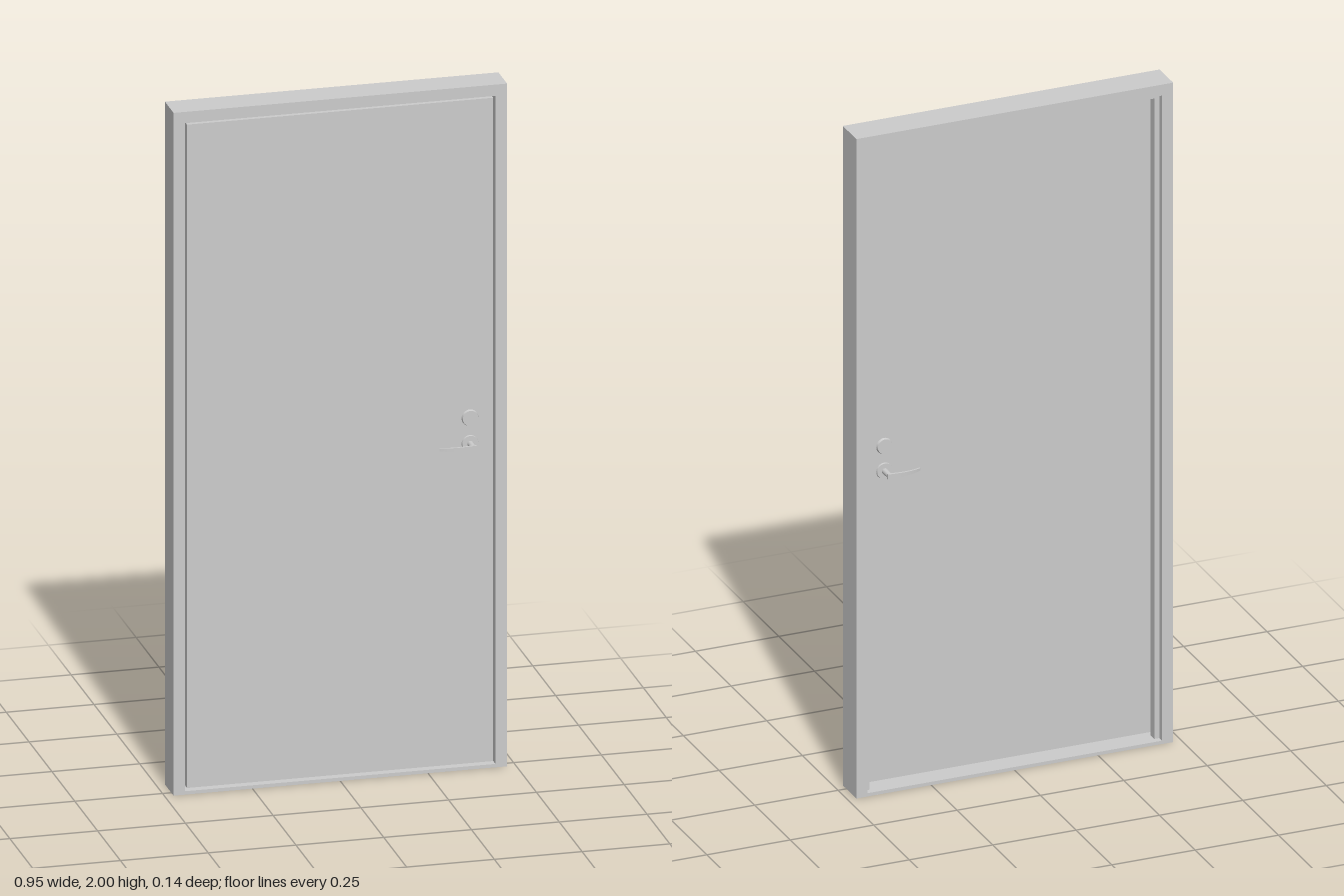
import * as THREE from 'three';

const HALF_W = 0.475, HEIGHT = 2, LEAF_FRONT = 0.022, LEAF_BACK = -0.02;
const HANDLE_X = 0.37;

const flat = new THREE.MeshStandardMaterial({ color: 0xcccccc, flatShading: true, side: THREE.DoubleSide });
const smooth = new THREE.MeshStandardMaterial({ color: 0xcccccc });

function add(parent, name, geometry, material, x = 0, y = 0, z = 0) {
  const mesh = new THREE.Mesh(geometry, material);
  mesh.name = name;
  mesh.position.set(x, y, z);
  parent.add(mesh);
  return mesh;
}

// Hollow frame: a double-rabbet profile swept up, across and down with mitred corners
function frameGeometry() {
  // [distance inward from the outer edge, z]
  const profile = [
    [0, -0.07], [0, 0.025], [0.033, 0.025], [0.033, -0.022],
    [0.048, -0.022], [0.048, -0.05], [0.033, -0.05], [0.033, -0.07],
  ];
  // [x, y, inward x, inward y]
  const stations = [
    [-HALF_W, 0, 1, 0], [-HALF_W, HEIGHT, 1, -1],
    [HALF_W, HEIGHT, -1, -1], [HALF_W, 0, -1, 0],
  ];
  const point = ([x, y, ix, iy], [d, z]) => [x + ix * d, y + iy * d, z];
  const positions = [];
  for (let s = 0; s < stations.length - 1; s++) {
    profile.forEach((p, i) => {
      const q = profile[(i + 1) % profile.length];
      const a = point(stations[s], p), b = point(stations[s], q);
      const c = point(stations[s + 1], q), d = point(stations[s + 1], p);
      positions.push(...a, ...b, ...c, ...a, ...c, ...d);
    });
  }
  const geometry = new THREE.BufferGeometry();
  geometry.setAttribute('position', new THREE.Float32BufferAttribute(positions, 3));
  geometry.computeVertexNormals();
  return geometry;
}

// Curved lever: plan outline extruded in height, then tapered towards the tip
function leverGeometry() {
  const shape = new THREE.Shape();
  shape.moveTo(0.008, 0.046);
  shape.lineTo(-0.03, 0.046);
  shape.quadraticCurveTo(-0.07, 0.044, -0.095, 0.032);
  shape.lineTo(-0.094, 0.028);
  shape.quadraticCurveTo(-0.065, 0.039, -0.03, 0.04);
  shape.lineTo(0.008, 0.038);
  shape.closePath();
  const geometry = new THREE.ExtrudeGeometry(shape, { depth: 1, bevelEnabled: false, curveSegments: 12 });
  geometry.translate(0, 0, -0.5);
  geometry.rotateX(Math.PI / 2);
  geometry.scale(1, 1, 1);
  const p = geometry.attributes.position;
  for (let i = 0; i < p.count; i++) {
    const t = THREE.MathUtils.clamp((0.008 - p.getX(i)) / 0.103, 0, 1);
    p.setY(i, p.getY(i) * THREE.MathUtils.lerp(0.016, 0.008, t));
  }
  geometry.computeVertexNormals();
  return geometry;
}

// Disc or rod standing out from the leaf along z
function rod(radius, topRadius, length) {
  return new THREE.CylinderGeometry(topRadius, radius, length, 32)
    .rotateX(Math.PI / 2).translate(0, 0, length / 2);
}

// Lever set and lock disc for one face of the leaf, pointing outwards along +z
function createHardware(name) {
  const set = new THREE.Group();
  set.name = name;
  add(set, 'leverRose', rod(0.024, 0.023, 0.005), smooth, 0, 0.955);
  add(set, 'leverStem', rod(0.009, 0.008, 0.044), smooth, 0, 0.955);
  add(set, 'lever', leverGeometry(), flat, 0, 0.955);
  add(set, 'lockDisc', rod(0.024, 0.022, 0.007), smooth, 0, 1.03);
  return set;
}

export function createModel() {
  const door = new THREE.Group();
  door.name = 'door';

  add(door, 'frame', frameGeometry(), flat);

  // Leaf, with a narrow gap all round
  const bottom = 0.018, top = 1.961;
  add(door, 'leaf', new THREE.BoxGeometry(0.872, top - bottom, LEAF_FRONT - LEAF_BACK), flat,
    0, (top + bottom) / 2, (LEAF_FRONT + LEAF_BACK) / 2);

  add(door, 'threshold', new THREE.BoxGeometry(0.884, 0.01, 0.094), flat, 0, 0.005, -0.0225);

  // Hardware on both faces, the back set mirrored in z
  const front = createHardware('frontHardware');
  front.position.set(HANDLE_X, 0, LEAF_FRONT);
  const back = createHardware('backHardware');
  back.position.set(HANDLE_X, 0, LEAF_BACK);
  back.scale.z = -1;
  door.add(front, back);

  return door;
}
